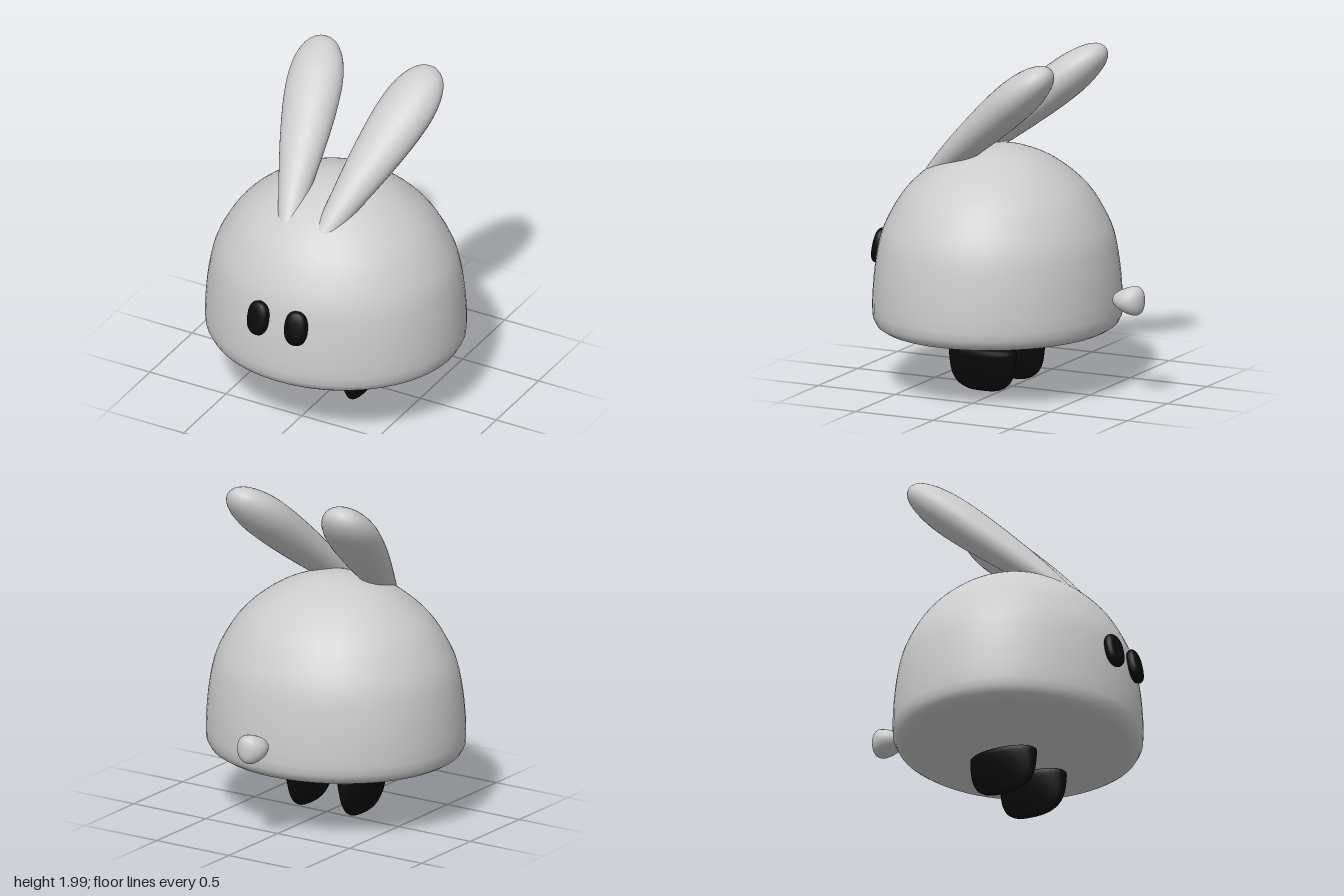
import * as THREE from 'three';
import { mergeVertices } from 'three/addons/utils/BufferGeometryUtils.js';

const fur = new THREE.MeshStandardMaterial({ color: 0xcccccc });
fur.name = 'light grey fur';
const dark = new THREE.MeshStandardMaterial({ color: 0x0a0a0a });
dark.name = 'black';

// Smooth closed form along +y. Each section is [y, half width in x, half width in z];
// power below 1 squares off the outline.
function loft(sections, rings, sides, power = 1) {
  const curve = new THREE.CatmullRomCurve3(
    sections.map(([y, rx, rz]) => new THREE.Vector3(rx, y, rz)), false, 'centripetal');
  const rows = curve.getSpacedPoints(rings);
  const bend = (v) => Math.sign(v) * Math.pow(Math.abs(v), power);
  const pos = [], index = [];
  for (const p of rows) {
    for (let j = 0; j < sides; j++) {
      const a = (j / sides) * Math.PI * 2;
      pos.push(Math.max(p.x, 0) * bend(Math.cos(a)), p.y, Math.max(p.z, 0) * bend(Math.sin(a)));
    }
  }
  for (let i = 0; i < rings; i++) {
    for (let j = 0; j < sides; j++) {
      const a = i * sides + j, b = i * sides + (j + 1) % sides;
      const c = a + sides, d = b + sides;
      if (i > 0) index.push(a, c, b);
      if (i < rings - 1) index.push(b, c, d);
      if (i === 0) index.push(a, c, d);
      if (i === rings - 1) index.push(a, c, b);
    }
  }
  const geo = new THREE.BufferGeometry();
  geo.setAttribute('position', new THREE.Float32BufferAttribute(pos, 3));
  geo.setIndex(index);
  const merged = mergeVertices(geo, 1e-5);
  // Drop faces collapsed at the poles and any repeats
  const seen = new Set(), clean = [], idx = merged.index.array;
  for (let i = 0; i < idx.length; i += 3) {
    const [a, b, c] = [idx[i], idx[i + 1], idx[i + 2]];
    const key = [a, b, c].sort((m, n) => m - n).join();
    if (a === b || b === c || a === c || seen.has(key)) continue;
    seen.add(key);
    clean.push(a, b, c);
  }
  merged.setIndex(clean);
  merged.computeVertexNormals();
  return merged;
}

export function createModel() {
  const model = new THREE.Group();
  const add = (name, geo, material) => {
    const mesh = new THREE.Mesh(geo, material);
    mesh.name = name;
    model.add(mesh);
    return mesh;
  };

  // Dome-shaped body with a flat underside
  const profile = [
    [0.336, 0], [0.336, 0.3], [0.338, 0.55], [0.35, 0.68], [0.37, 0.735], [0.41, 0.762],
    [0.48, 0.767], [0.6, 0.762], [0.75, 0.745], [0.9, 0.712], [1.03, 0.65], [1.14, 0.575],
    [1.24, 0.47], [1.33, 0.335], [1.39, 0.185], [1.41, 0.09], [1.415, 0],
  ];
  const body = add('body', loft(profile.map(([y, r]) => [y, r, r * 0.923]), 56, 64), fur);
  body.position.z = 0.097;

  // Tail behind the body, broader at its far end
  const tail = add('tail', loft([
    [0, 0, 0], [0.006, 0.03, 0.025], [0.035, 0.066, 0.05], [0.09, 0.091, 0.074],
    [0.14, 0.082, 0.086], [0.172, 0.055, 0.072], [0.187, 0.025, 0.04], [0.19, 0, 0],
  ], 20, 28), fur);
  tail.position.set(0, 0.585, -0.655);
  tail.rotation.x = -Math.PI / 2;

  const earGeo = loft([
    [0, 0, 0], [0.01, 0.03, 0.025], [0.08, 0.055, 0.045], [0.3, 0.094, 0.08],
    [0.6, 0.141, 0.108], [0.85, 0.166, 0.12], [1.0, 0.165, 0.116], [1.12, 0.14, 0.096],
    [1.2, 0.096, 0.066], [1.237, 0.045, 0.032], [1.247, 0, 0],
  ], 40, 32);
  const eyeGeo = loft([
    [-0.035, 0, 0], [-0.035, 0.045, 0.07], [-0.022, 0.065, 0.098], [0, 0.071, 0.105],
    [0.018, 0.064, 0.096], [0.03, 0.042, 0.066], [0.035, 0, 0],
  ], 20, 32, 0.85);
  const footGeo = loft([
    [0, 0, 0], [0.003, 0.012, 0.075], [0.018, 0.024, 0.125], [0.05, 0.039, 0.17],
    [0.1, 0.06, 0.198], [0.17, 0.084, 0.21], [0.22, 0.097, 0.212], [0.243, 0.099, 0.21],
    [0.253, 0.088, 0.19], [0.257, 0.05, 0.11], [0.257, 0, 0],
  ], 32, 36);

  for (const [side, s] of [['left', 1], ['right', -1]]) {
    // Ear sweeping up, back and outward
    const base = new THREE.Vector3(0.1 * s, 1.18, 0.52);
    const along = new THREE.Vector3(0.365 * s, 1.965, -0.41).sub(base).normalize();
    const across = new THREE.Vector3(1, 0, 0).addScaledVector(along, -along.x).normalize();
    const out = new THREE.Vector3().crossVectors(across, along);
    const ear = add(side + 'Ear', earGeo, fur);
    ear.position.copy(base);
    ear.quaternion.setFromRotationMatrix(new THREE.Matrix4().makeBasis(across, along, out));

    // Flattened eye following the face
    const eye = add(side + 'Eye', eyeGeo, dark);
    eye.position.set(0.125 * s, 0.775, 0.797);
    eye.rotation.set(Math.PI / 2 - 0.2, 0.15 * s, 0, 'YXZ');

    // Wedge-shaped foot
    const foot = add(side + 'Foot', footGeo, dark);
    foot.position.set(0.18 * s, 0, 0.1);
  }
  return model;
}
